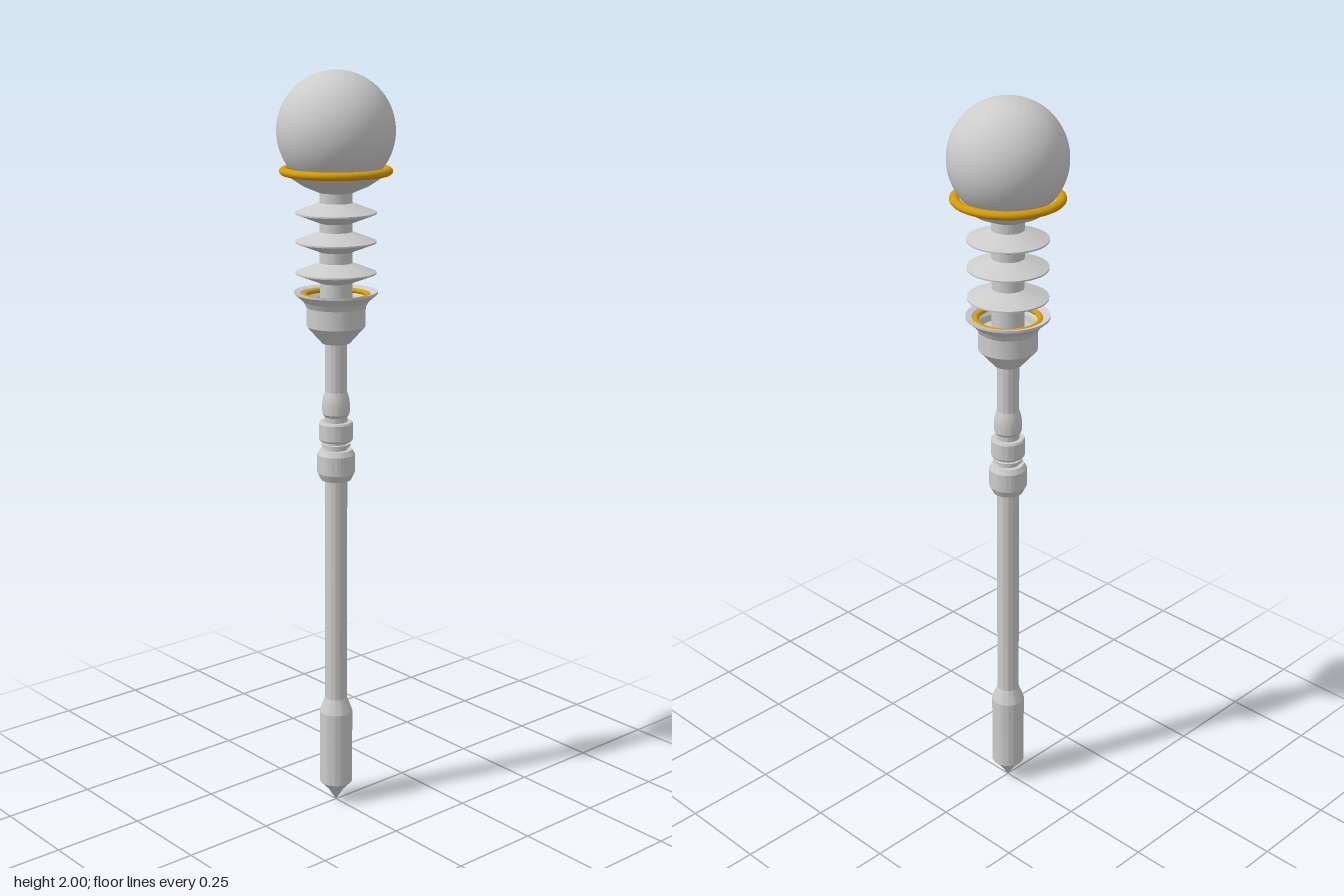
import * as THREE from 'three';
import { toCreasedNormals } from 'three/addons/utils/BufferGeometryUtils.js';

const grey = new THREE.MeshStandardMaterial({ color: 0xcccccc });
const gold = new THREE.MeshStandardMaterial({ color: 0xd49a00 });

export function createModel() {
  const model = new THREE.Group();

  const add = (name, geometry, material = grey, y = 0) => {
    const mesh = new THREE.Mesh(geometry, material);
    mesh.name = name;
    mesh.position.y = y;
    model.add(mesh);
    return mesh;
  };

  // Turned part: [radius, height] pairs from bottom to top, with crisp edges
  const turn = (name, profile, y = 0) => {
    const points = profile.map(([r, h]) => new THREE.Vector2(r, h));
    return add(name, toCreasedNormals(new THREE.LatheGeometry(points, 64), 0.3), grey, y);
  };

  // Flattened gold ring
  const ring = (name, radius, tube, y, flatten) => {
    const geometry = new THREE.TorusGeometry(radius, tube, 16, 64);
    geometry.rotateX(Math.PI / 2).scale(1, flatten, 1);
    add(name, geometry, gold, y);
  };

  // Pointed foot, long shaft
  turn('footTip', [[0, 0], [0.008, 0.012], [0.022, 0.035], [0.045, 0.06]]);
  turn('foot', [[0.045, 0.06], [0.045, 0.27], [0.03, 0.31]]);
  turn('lowerShaft', [[0.03, 0.31], [0.03, 0.94]]);

  // Grip collars
  turn('lowerCollar', [[0.03, 0.935], [0.04, 0.935], [0.05, 0.955], [0.05, 1.005], [0.042, 1.018], [0.03, 1.018]]);
  turn('collarNeck', [[0.03, 1.015], [0.03, 1.125]]);
  turn('collarBand', [[0.03, 1.027], [0.038, 1.027], [0.038, 1.034], [0.03, 1.034]]);
  turn('upperCollar', [[0.03, 1.042], [0.042, 1.042], [0.045, 1.047], [0.045, 1.089], [0.042, 1.094], [0.03, 1.094]]);
  turn('shaftBulge', [[0.028, 1.105], [0.036, 1.115], [0.037, 1.14], [0.034, 1.16], [0.029, 1.175]]);
  turn('upperShaft', [[0.029, 1.12], [0.029, 1.32]]);

  // Hollow socket with a flared lip and a gold ring inside
  turn('socket', [
    [0.029, 1.305], [0.037, 1.305], [0.077, 1.35], [0.077, 1.4], [0.085, 1.415],
    [0.108, 1.435], [0.108, 1.441], [0.092, 1.437], [0.075, 1.415], [0.072, 1.4], [0, 1.4],
  ]);
  ring('socketRing', 0.083, 0.008, 1.43, 0.8);

  // Core with three sharp-edged fins
  turn('core', [[0.042, 1.395], [0.042, 1.705]]);
  [1.489, 1.569, 1.643].forEach((y, i) => {
    turn(`fin${i + 1}`, [[0.042, -0.026], [0.104, -0.002], [0.104, 0.002], [0.042, 0.026]], y);
  });

  // Cup, gold rim and ball
  turn('cup', [[0, 1.695], [0.045, 1.695], [0.085, 1.712], [0.132, 1.743], [0.132, 1.752], [0.1, 1.752]]);
  ring('cupRim', 0.132, 0.013, 1.749, 0.8);
  add('ball', new THREE.SphereGeometry(0.151, 64, 48), grey, 1.849);

  return model;
}
